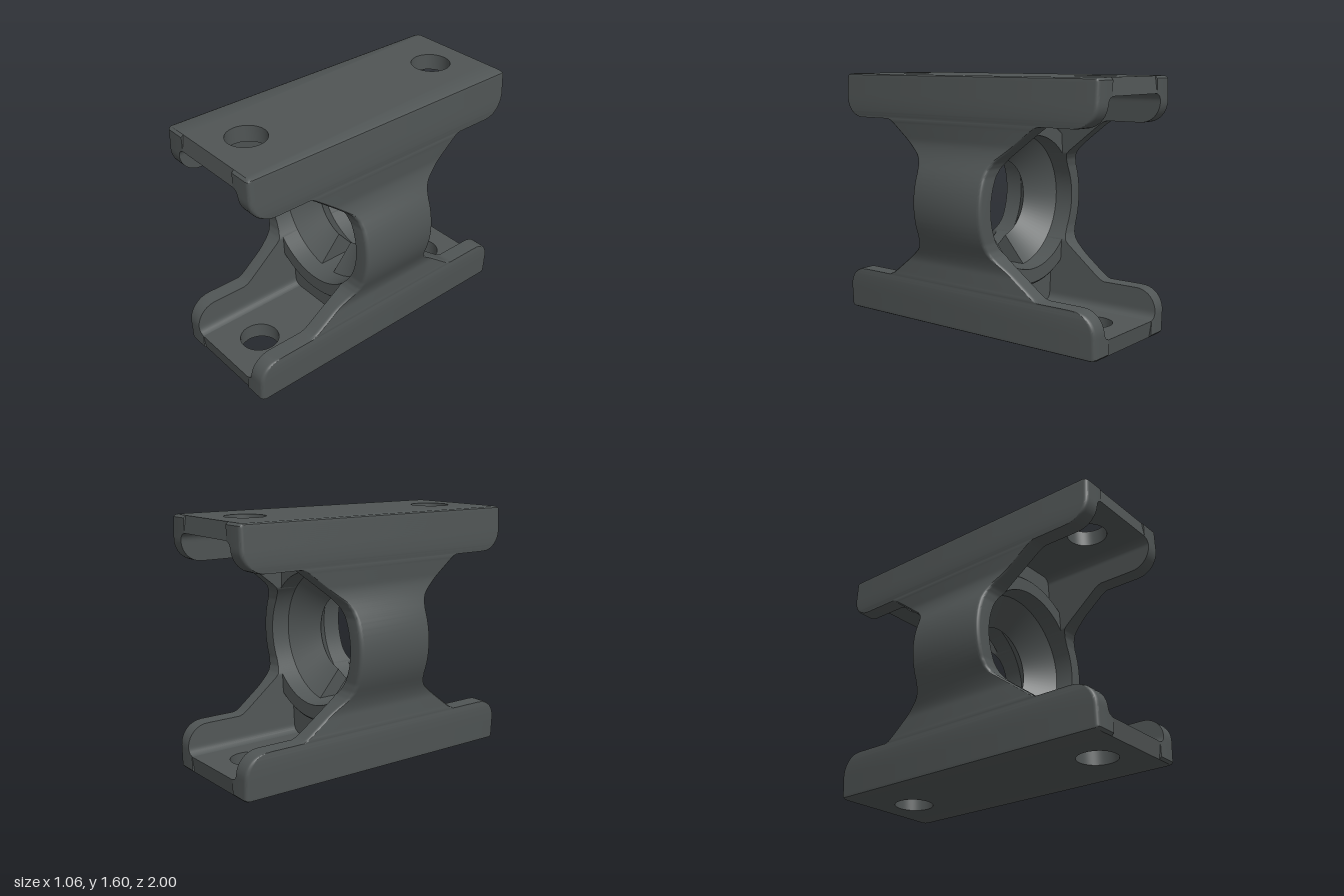
import * as THREE from 'three';
import { toCreasedNormals } from 'three/addons/utils/BufferGeometryUtils.js';

const BORE = 0.425, RIM = 0.53, FLOOR = 0.695, HALF = 0.8, PLATE_X = 0.245;

// Capped solid through a list of equal-length closed sections
function loft(sections) {
  const n = sections[0].length, last = (sections.length - 1) * n, index = [];
  for (let i = 0; i < sections.length - 1; i++) {
    for (let j = 0; j < n; j++) {
      const k = (j + 1) % n, a = i * n + j, b = i * n + k;
      index.push(a, b, b + n, a, b + n, a + n);
    }
  }
  for (let j = 1; j < n - 1; j++) {
    index.push(0, j + 1, j, last, last + j, last + j + 1);
  }
  const g = new THREE.BufferGeometry();
  g.setAttribute('position', new THREE.Float32BufferAttribute(sections.flat(2), 3));
  g.setIndex(index);
  return toCreasedNormals(g, 0.5);
}

const circleX = (r, d) => Math.sqrt(Math.max(0, r * r - d * d));

// Inner face of a side wall at distance d from the bore axis
function innerX(d) {
  const c = Math.min(d, FLOOR);
  const t = Math.max(0, (c - 0.645) / 0.05);
  const wall = 0.285 + (FLOOR - c) * 0.07 - 0.04 * (1 - Math.sqrt(Math.max(0, 1 - t * t)));
  return Math.max(wall, circleX(BORE, d));
}

// Outer face: drafted wall blended into the round rim
function outerX(d) {
  const wall = 0.39 + (HALF - d) * 0.055, round = circleX(RIM, d), k = 0.06;
  const h = Math.max(k - Math.abs(wall - round), 0) / k;
  return Math.max(wall, round) + k * h * h / 4 - (d > 0.795 ? 0.015 : 0);
}

// Side wall: half depth against distance from the axis, lofted upward
function sideWallGeometry() {
  const key = [[0, 0.275], [0.2, 0.275], [0.25, 0.285], [0.285, 0.305], [0.31, 0.33],
    [0.485, 0.56], [0.505, 0.59], [0.515, 0.62]];
  for (let i = 0; i <= 10; i++) {
    const a = i / 10 * Math.PI / 2;
    key.push([0.655 - 0.14 * Math.cos(a), 0.86 + 0.14 * Math.sin(a)]);
  }
  key.push([FLOOR, 1], [0.785, 1], [HALF, 0.985]);
  const half = [key[0]];
  for (let i = 1; i < key.length; i++) {
    const [d0, z0] = key[i - 1], [d1, z1] = key[i];
    const n = Math.max(1, Math.ceil((d1 - d0) / 0.0125));
    for (let s = 1; s <= n; s++) half.push([d0 + (d1 - d0) * s / n, z0 + (z1 - z0) * s / n]);
  }
  const all = [...half.slice(1).reverse().map(([d, z]) => [-d, z]), ...half];
  const r = 0.025;
  return loft(all.map(([y, z]) => {
    const d = Math.abs(y), a = innerX(d), b = outerX(d), points = [[a, y, -z], [a, y, z]];
    for (let i = 0; i <= 4; i++) {
      const t = i / 4 * Math.PI / 2;
      points.push([b - r + r * Math.sin(t), y, z - r + r * Math.cos(t)]);
    }
    for (let i = 0; i <= 4; i++) {
      const t = i / 4 * Math.PI / 2;
      points.push([b - r + r * Math.cos(t), y, -z + r - r * Math.sin(t)]);
    }
    return points;
  }));
}

// Mounting plate with two bolt holes and softened ends
function plateGeometry() {
  const s = new THREE.Shape();
  s.moveTo(-PLATE_X, -1).lineTo(PLATE_X, -1).lineTo(PLATE_X, 1).lineTo(-PLATE_X, 1).closePath();
  for (const z of [-0.727, 0.727]) {
    s.holes.push(new THREE.Path().absarc(0, z, 0.125, 0, Math.PI * 2, true));
  }
  const g = new THREE.ExtrudeGeometry(s, { depth: HALF - FLOOR, bevelEnabled: false, curveSegments: 32 });
  g.rotateX(Math.PI / 2).translate(0, HALF, 0);
  const p = g.attributes.position;
  for (let i = 0; i < p.count; i++) {
    if (p.getY(i) > HALF - 0.001 && Math.abs(p.getZ(i)) > 0.99) p.setZ(i, Math.sign(p.getZ(i)) * 0.985);
  }
  return toCreasedNormals(g, 0.5);
}

// Web between the bore and the plate
function webGeometry() {
  const a = Math.asin(0.33 / BORE), s = new THREE.Shape();
  s.moveTo(0.33, 0.7).lineTo(-0.33, 0.7);
  s.absarc(0, 0, BORE, Math.PI / 2 + a, Math.PI / 2 - a, true);
  s.closePath();
  const g = new THREE.ExtrudeGeometry(s, { depth: 0.4, bevelEnabled: false, curveSegments: 32 });
  return toCreasedNormals(g.translate(0, 0, -0.2), 0.5);
}

// Raised rim arc, filleted into the web
function rimGeometry() {
  const side = [[0.55, 0.2], [0.537, 0.21], [RIM, 0.23], [RIM, 0.26], [0.515, 0.275], [BORE, 0.275]];
  const profile = [...side.slice().reverse().map(([r, z]) => [r, -z]), ...side, [BORE, -0.275]];
  const a = 0.835;
  const g = new THREE.LatheGeometry(profile.map(([r, z]) => new THREE.Vector2(r, z)), 40, Math.PI - a, 2 * a);
  return toCreasedNormals(g.rotateX(Math.PI / 2), 0.5);
}

// Double-tapered seat, its ends forming the parallel keyway walls
function seatGeometry() {
  const profile = [[0.255, 0], [BORE + 0.001, 0.15], [BORE + 0.001, -0.15]];
  const sections = [];
  for (let i = 0; i <= 80; i++) {
    sections.push(profile.map(([r, z]) => {
      const start = Math.asin(0.06 / r);
      const a = start + (i / 80) * (2 * Math.PI - 2 * start);
      return [r * Math.sin(a), -r * Math.cos(a), z];
    }));
  }
  return loft(sections);
}

export function createModel() {
  const metal = new THREE.MeshStandardMaterial({ color: 0x505555 });
  metal.name = 'dark grey metal';
  const model = new THREE.Group();
  model.name = 'bearingBracket';
  const body = new THREE.Group();
  body.name = 'body';
  body.position.y = HALF;
  model.add(body);
  const add = (parent, name, geometry) => {
    const mesh = new THREE.Mesh(geometry, metal);
    mesh.name = name;
    parent.add(mesh);
    return mesh;
  };

  // Left and right walls
  const wall = sideWallGeometry();
  add(body, 'leftWall', wall);
  add(body, 'rightWall', wall).rotation.y = Math.PI;

  // Upper and lower mounts
  const plate = plateGeometry(), web = webGeometry(), rim = rimGeometry();
  for (const [name, turn] of [['upper', 0], ['lower', Math.PI]]) {
    const mount = new THREE.Group();
    mount.name = name + 'Mount';
    mount.rotation.z = turn;
    add(mount, name + 'Plate', plate);
    add(mount, name + 'Web', web);
    add(mount, name + 'Rim', rim);
    body.add(mount);
  }

  add(body, 'taperedSeat', seatGeometry());
  return model;
}
